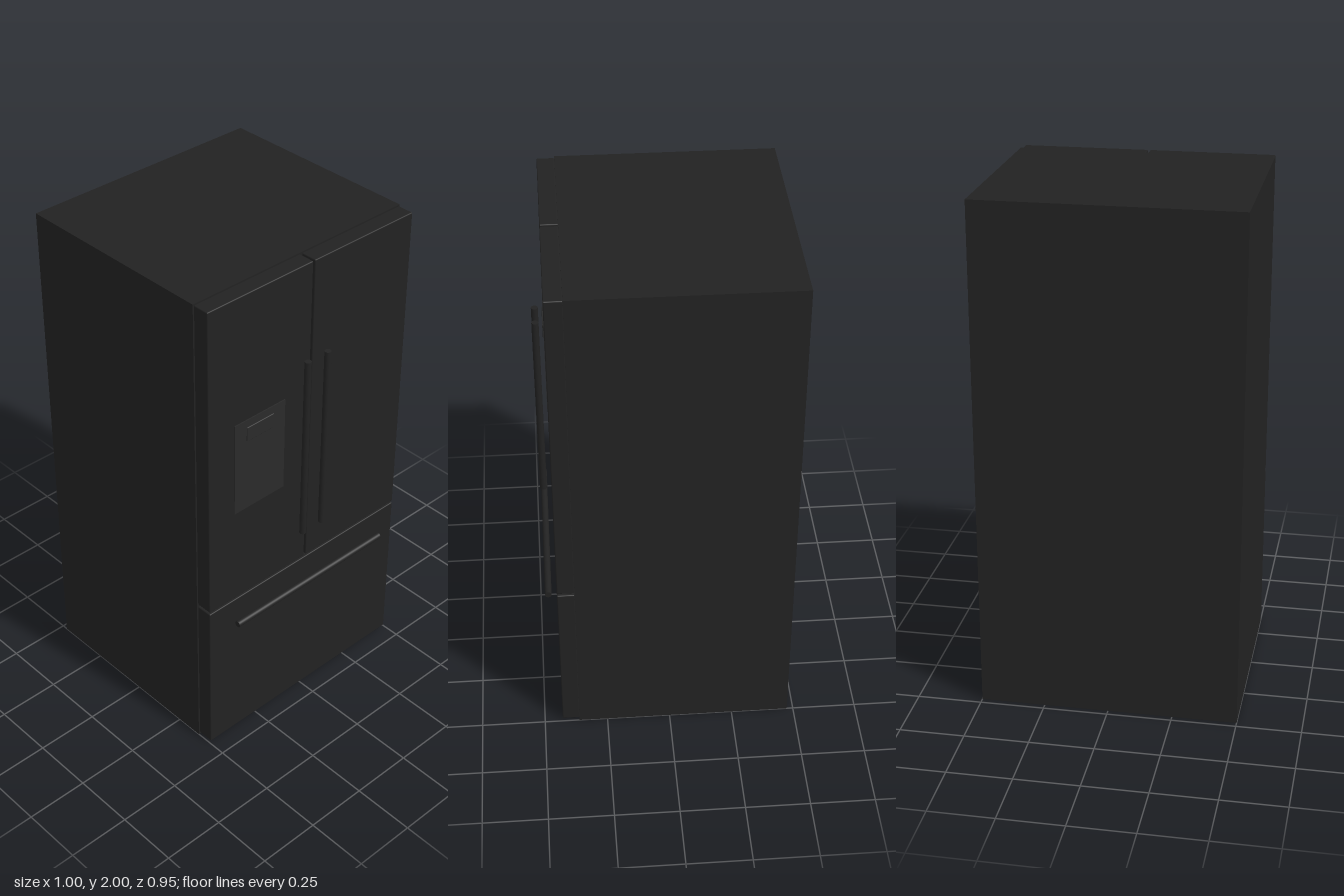
import * as THREE from 'three';
import { RoundedBoxGeometry } from 'three/addons/geometries/RoundedBoxGeometry.js';

const black = new THREE.MeshStandardMaterial({ color: 0x222222 });
const panelBlack = new THREE.MeshStandardMaterial({ color: 0x2a2a2a });

export function createModel() {
  const group = new THREE.Group();

  // Box given by its minimum and maximum corners, with an optional edge radius
  function box(name, [x0, y0, z0], [x1, y1, z1], radius = 0, material = black) {
    const size = [x1 - x0, y1 - y0, z1 - z0];
    const geometry = radius
      ? new RoundedBoxGeometry(...size, 2, radius)
      : new THREE.BoxGeometry(...size);
    const mesh = new THREE.Mesh(geometry, material);
    mesh.name = name;
    mesh.position.set((x0 + x1) / 2, (y0 + y1) / 2, (z0 + z1) / 2);
    group.add(mesh);
  }

  // Round bar handle floating just ahead of the doors
  function handle(name, x, y, length, horizontal) {
    const mesh = new THREE.Mesh(new THREE.CylinderGeometry(0.013, 0.013, length, 24), black);
    mesh.name = name;
    mesh.position.set(x, y, 0.462);
    if (horizontal) mesh.rotation.z = Math.PI / 2;
    group.add(mesh);
  }

  // Cabinet
  box('cabinet', [-0.5, 0, -0.475], [0.5, 2, 0.362]);

  // Two upper doors and the freezer drawer
  for (const [side, s] of [['left', 1], ['right', -1]]) {
    const xs = [s * 0.005, s * 0.496].sort((a, b) => a - b);
    box(side + 'Door', [xs[0], 0.684, 0.362], [xs[1], 1.996, 0.429], 0.004);
    handle(side + 'DoorHandle', s * 0.05, 1.232, 0.776, false);
  }
  box('freezerDrawer', [-0.496, 0.01, 0.362], [0.496, 0.674, 0.429], 0.004);
  handle('drawerHandle', 0, 0.583, 0.772, true);

  // Water dispenser on the right door, with its control strip
  box('dispenserPanel', [-0.375, 1.09, 0.42], [-0.13, 1.48, 0.433], 0, panelBlack);
  box('dispenserControls', [-0.318, 1.39, 0.425], [-0.187, 1.45, 0.437], 0.003, panelBlack);

  return group;
}
